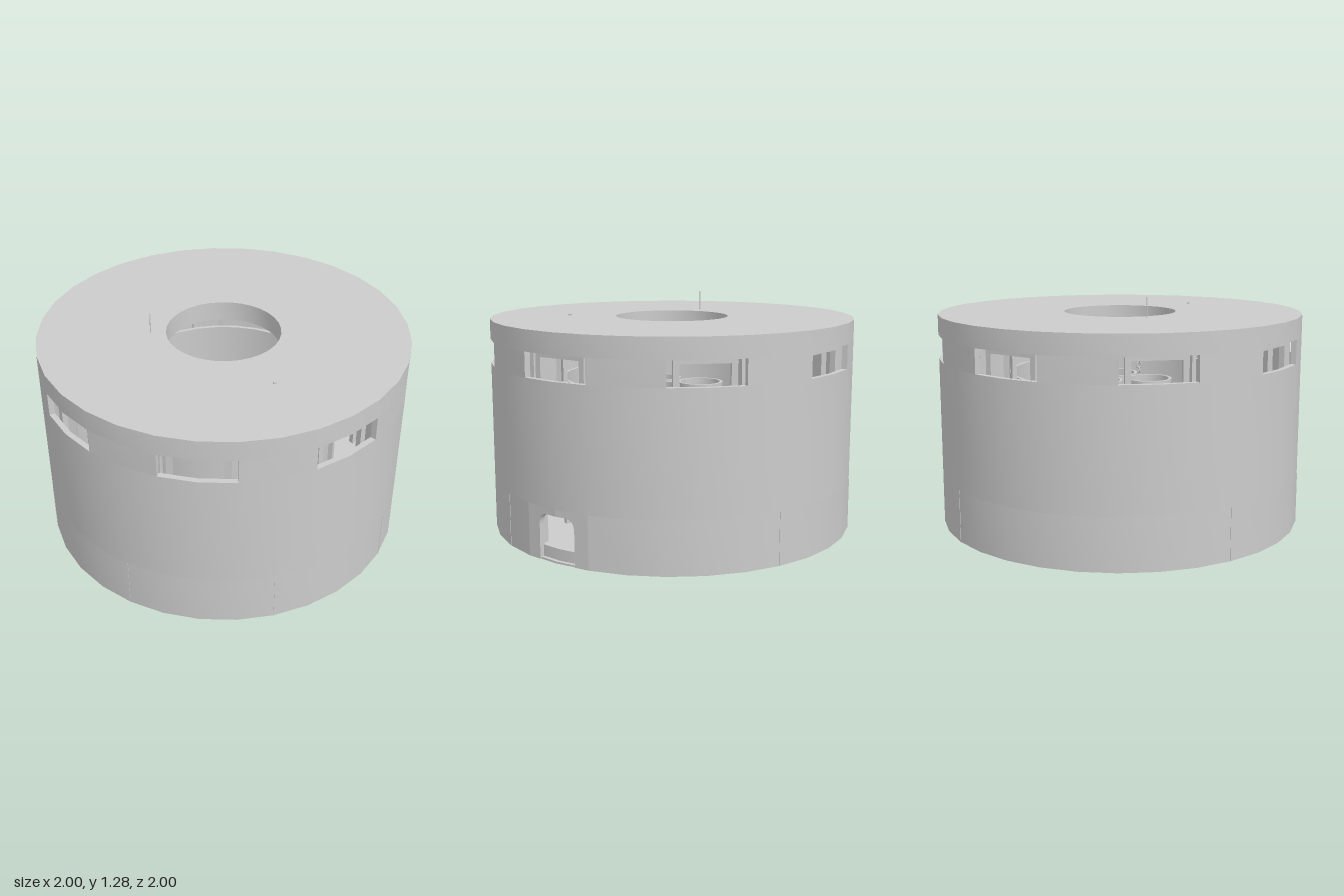
import * as THREE from 'three';
import { mergeGeometries, toCreasedNormals } from 'three/addons/utils/BufferGeometryUtils.js';

const material = new THREE.MeshStandardMaterial({ color: 0xcccccc, side: THREE.DoubleSide });
const STEP = Math.PI / 16; // one facet of the 32-sided drum
const WALL = 0.97;         // inner radius of the outer wall

// Ring, or part of one, with a rectangular section; angles run from +z towards +x
function ring(r0, r1, y0, y1, segments = 32, start = 0, length = Math.PI * 2) {
  const profile = [[r1, y0], [r1, y1], [r0, y1], [r0, y0], [r1, y0]].map(p => new THREE.Vector2(...p));
  const parts = [toCreasedNormals(new THREE.LatheGeometry(profile, segments, start, length), 0.5)];
  if (length < 6.28) {
    for (const angle of [start, start + length]) {
      const end = new THREE.PlaneGeometry(r1 - r0, y1 - y0).toNonIndexed();
      end.translate((r0 + r1) / 2, (y0 + y1) / 2, 0);
      end.rotateY(angle - Math.PI / 2);
      parts.push(end);
    }
  }
  return mergeGeometries(parts);
}

function cylinder(r, y0, y1, x = 0, z = 0, sides = 32) {
  return new THREE.CylinderGeometry(r, r, y1 - y0, sides).translate(x, (y0 + y1) / 2, z);
}

export function createModel() {
  const model = new THREE.Group();
  const add = (name, geometry, parent = model) => {
    const mesh = new THREE.Mesh(geometry, material);
    mesh.name = name;
    parent.add(mesh);
    return mesh;
  };

  // Base and floor
  add('basePlate', cylinder(0.995, 0.01, 0.02));
  add('floor', cylinder(WALL + 0.005, 0.02, 0.08));
  add('bottomRing', ring(0.25, 0.26, 0.004, 0.012));
  for (let i = 0; i < 3; i++) add('baseStud', cylinder(0.008, 0, 0.012, -0.11 + i * 0.065, 0, 8));

  // Outer wall: lower band with a gap for the door, full band, window piers
  add('lowerWall', ring(WALL, 1, 0.01, 0.29, 30, Math.PI / 2 + STEP, Math.PI * 2 - 2 * STEP));
  add('mainWall', ring(WALL, 1, 0.29, 0.93));
  for (let i = 0; i < 8; i++) add('windowPier', ring(WALL, 1, 0.93, 1.06, 2, i * Math.PI / 4 + STEP, 2 * STEP));
  add('roof', ring(0.31, 1, 1.06, 1.17));

  // Arched doorway: two flat facets meeting at the middle of the +x side
  const facet = 2 * Math.sin(STEP / 2);
  for (const side of [-1, 1]) {
    const shape = new THREE.Shape();
    shape.moveTo(side * 0.115, 0.01);
    shape.lineTo(side * facet, 0.01);
    shape.lineTo(side * facet, 0.29);
    shape.lineTo(0, 0.29);
    shape.lineTo(0, 0.255);
    shape.lineTo(side * 0.055, 0.255);
    shape.quadraticCurveTo(side * 0.115, 0.255, side * 0.115, 0.19);
    const panel = new THREE.ExtrudeGeometry(shape, { depth: 0.03, bevelEnabled: false });
    panel.translate(0, 0, -0.03).rotateY(side * STEP / 2).translate(0, 0, 1).rotateY(Math.PI / 2);
    add('doorPanel', panel);
  }

  // Thin upright seams around the foot of the wall
  for (let i = 0; i < 8; i++) {
    const seam = new THREE.BoxGeometry(0.004, 0.28, 0.006);
    seam.translate(0, 0.15, 0.999).rotateY(Math.PI / 8 + i * Math.PI / 4);
    add('wallSeam', seam);
  }

  // Frames behind the windows and posts under the roof
  for (let i = 0; i < 8; i++) {
    const frame = new THREE.Group();
    frame.name = 'windowFrame';
    frame.rotation.y = i * Math.PI / 4;
    model.add(frame);
    for (const side of [-1, 1]) {
      add('framePost', new THREE.BoxGeometry(0.03, 0.98, 0.03).translate(side * 0.14, 0.57, 0.93), frame);
    }
    add('frameLintel', new THREE.BoxGeometry(0.27, 0.025, 0.03).translate(0, 1.047, 0.93), frame);
    const post = new THREE.BoxGeometry(0.025, 0.98, 0.025).translate(0, 0.57, 0.67);
    add('roofPost', post.rotateY(Math.PI / 8), frame);
  }

  // Inner hall wall, with an opening towards the door
  add('innerWall', ring(0.6, 0.62, 0.08, 0.84, 30, Math.PI / 2 + STEP, Math.PI * 2 - 2 * STEP));

  // Stepped pedestal carrying three upright tubes on legs
  [[0.31, 0.09], [0.285, 0.1], [0.25, 0.11]].forEach(([r, top]) => add('pedestalStep', cylinder(r, 0.08, top)));
  for (const [x, z] of [[-0.09, -0.13], [0.145, 0], [-0.08, 0.15]]) {
    const tube = new THREE.Group();
    tube.name = 'tube';
    tube.position.set(x, 0, z);
    model.add(tube);
    add('tubeWall', ring(0.112, 0.122, 0.21, 0.8), tube);
    add('tubeRim', ring(0.11, 0.127, 0.78, 0.8), tube);
    add('tubeBottom', cylinder(0.115, 0.21, 0.22), tube);
    add('tubeBase', new THREE.BoxGeometry(0.1, 0.1, 0.1).translate(0, 0.16, 0), tube);
    for (let i = 0; i < 4; i++) {
      const a = Math.PI / 4 + i * Math.PI / 2;
      add('tubeLeg', cylinder(0.014, 0.1, 0.21, 0.1 * Math.sin(a), 0.1 * Math.cos(a), 8), tube);
    }
  }

  // Short hanging chain inside
  for (let i = 0; i < 4; i++) {
    const link = new THREE.TorusGeometry(0.013, 0.004, 6, 12);
    link.rotateY(i * Math.PI / 2).translate(-0.57, 0.93 + i * 0.024, -0.01);
    add('chainLink', link);
  }

  // Roof fittings
  add('antenna', cylinder(0.003, 1.17, 1.28, -0.385, 0.07, 8));
  add('roofKnob', cylinder(0.009, 1.17, 1.177, 0.315, 0.475, 10));

  return model;
}
